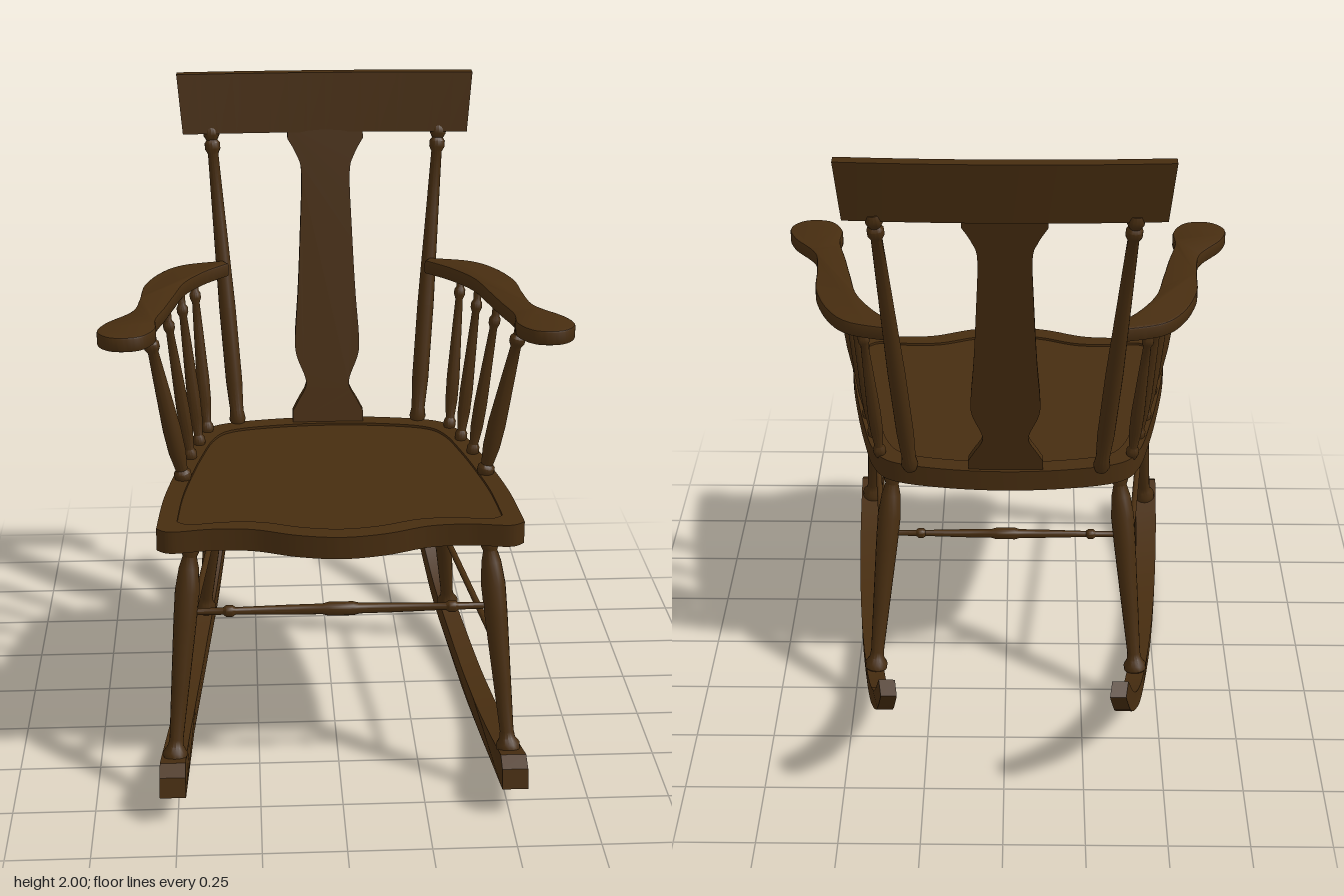
import * as THREE from 'three';
import { toCreasedNormals } from 'three/addons/utils/BufferGeometryUtils.js';

const wood = new THREE.MeshStandardMaterial({ color: 0x472d10 });
wood.name = 'darkWood';
const V = (x, y, z) => new THREE.Vector3(x, y, z);
const V2 = (p) => new THREE.Vector2(p[0], p[1]);

// Turned part between two points; profile rows are [radius, fraction of length]
function turned(name, a, b, profile, scale = 1) {
  const length = a.distanceTo(b);
  const pts = profile.map(([r, t]) => new THREE.Vector2(r * scale, t * length));
  pts.unshift(new THREE.Vector2(0, 0));
  pts.push(new THREE.Vector2(0, length));
  const mesh = new THREE.Mesh(toCreasedNormals(new THREE.LatheGeometry(pts, 16), 0.7), wood);
  mesh.name = name;
  mesh.position.copy(a);
  mesh.quaternion.setFromUnitVectors(V(0, 1, 0), b.clone().sub(a).normalize());
  return mesh;
}

// Smooth plan outline: given [x, z] points, extruded upward from y
function slab(name, shape, y, depth, bevel) {
  const geo = new THREE.ExtrudeGeometry(shape, {
    depth: depth - 2 * bevel, bevelEnabled: bevel > 0, bevelThickness: bevel,
    bevelSize: bevel, bevelOffset: -bevel, bevelSegments: 2,
  });
  geo.rotateX(-Math.PI / 2).translate(0, y + bevel, 0);
  const mesh = new THREE.Mesh(toCreasedNormals(geo, 0.6), wood);
  mesh.name = name;
  return mesh;
}

const legProfile = [[0.02, 0], [0.021, 0.03], [0.036, 0.05], [0.036, 0.075], [0.024, 0.1], [0.021, 0.13],
  [0.027, 0.35], [0.035, 0.65], [0.037, 0.78], [0.03, 0.88], [0.021, 0.93], [0.027, 0.95], [0.024, 1]];
const spindleProfile = [[0.015, 0], [0.02, 0.03], [0.02, 0.06], [0.014, 0.08], [0.02, 0.2], [0.021, 0.35],
  [0.015, 0.7], [0.012, 0.86], [0.018, 0.89], [0.018, 0.92], [0.012, 0.94], [0.014, 1]];
const postProfile = [[0.02, 0], [0.027, 0.02], [0.022, 0.05], [0.027, 0.15], [0.027, 0.4], [0.021, 0.7],
  [0.017, 0.91], [0.025, 0.925], [0.025, 0.945], [0.018, 0.955], [0.026, 0.97], [0.026, 0.985], [0.02, 1]];
const stretcherProfile = [[0.01, 0], [0.011, 0.12], [0.018, 0.13], [0.018, 0.15], [0.011, 0.16], [0.015, 0.34],
  [0.016, 0.44], [0.021, 0.46], [0.021, 0.54], [0.016, 0.56], [0.015, 0.66], [0.011, 0.84], [0.018, 0.85],
  [0.018, 0.87], [0.011, 0.88], [0.01, 1]];
const rodProfile = [[0.01, 0], [0.01, 1]];

// Seat outline, inset by a margin
function seatShape(m) {
  const side = [[0.545, 0.61], [0.53, 0.4], [0.5, 0.2], [0.465, 0.02], [0.425, -0.13], [0.36, -0.21], [0.2, -0.25]];
  const front = [[0.5, 0.635], [0.38, 0.62], [0.26, 0.628], [0.13, 0.675]];
  const at = ([x, z]) => [x * (1 - m / 0.5), -(0.21 + (z - 0.21) * (1 - m / 0.45))];
  const flip = ([x, z]) => [-x, z];
  const s = new THREE.Shape();
  s.moveTo(...at(side[0]));
  s.splineThru([...side.slice(1), [0, -0.265], ...side.slice().reverse().map(flip)].map(at).map(V2));
  s.splineThru([...front.map(flip), [0, 0.695], ...front.slice().reverse(), side[0]].map(at).map(V2));
  return s;
}

// Curved rocker, splayed outward toward the front and tapered toward the tail
function rocker(side) {
  const lower = [[0.84, 0.095], [0.62, 0.048], [0.41, 0.016], [0.14, 0], [-0.095, 0.022], [-0.39, 0.085],
    [-0.55, 0.165], [-0.705, 0.28], [-0.835, 0.435]];
  const upper = [[-0.795, 0.465], [-0.65, 0.31], [-0.49, 0.2], [-0.31, 0.13], [-0.015, 0.075], [0.18, 0.067],
    [0.355, 0.08], [0.57, 0.12], [0.78, 0.178]];
  const at = ([z, y]) => new THREE.Vector2(-z, y);
  const s = new THREE.Shape();
  s.moveTo(-0.84, 0.095);
  s.splineThru(lower.slice(1).map(at));
  s.lineTo(0.795, 0.465);
  s.splineThru(upper.slice(1).map(at));
  s.lineTo(-0.825, 0.155);
  s.closePath();
  const geo = new THREE.ExtrudeGeometry(s, { depth: 1, bevelEnabled: false, curveSegments: 3 });
  geo.translate(0, 0, -0.5).rotateY(Math.PI / 2);
  const p = geo.attributes.position;
  for (let i = 0; i < p.count; i++) {
    const u = (0.84 - p.getZ(i)) / 1.68;
    p.setX(i, side * (0.512 - 0.17 * Math.pow(u, 1.9)) + p.getX(i) * (0.078 - 0.03 * u));
  }
  const mesh = new THREE.Mesh(toCreasedNormals(geo, 0.5), wood);
  mesh.name = 'rocker';
  return mesh;
}

// Paddle-shaped armrest
function armrest(side) {
  const pts = [[0.34, -0.32], [0.47, -0.28], [0.54, -0.2], [0.587, -0.07], [0.597, 0.07], [0.615, 0.19],
    [0.69, 0.3], [0.71, 0.38], [0.665, 0.435], [0.585, 0.43], [0.54, 0.36], [0.54, 0.27], [0.515, 0.16],
    [0.49, 0.04], [0.46, -0.09], [0.4, -0.2], [0.322, -0.29]].map(([x, z]) => [side * x, -z]);
  const s = new THREE.Shape();
  s.moveTo(...pts[0]);
  s.splineThru(pts.slice(1).map(V2));
  s.closePath();
  s.curves.forEach((c) => { c.arcLengthDivisions = 50; });
  return slab('armrest', s, 1.36, 0.046, 0.006);
}

// Vase-shaped back splat, leaning back
function splat() {
  const half = [[0.098, 0.94], [0.073, 0.985], [0.075, 1.02], [0.102, 1.09], [0.106, 1.15], [0.095, 1.3],
    [0.085, 1.5], [0.079, 1.68], [0.095, 1.74], [0.123, 1.79]];
  const s = new THREE.Shape();
  s.moveTo(-0.117, 0.865);
  s.lineTo(0.117, 0.865);
  s.lineTo(0.117, 0.905);
  s.splineThru(half.map(V2));
  s.lineTo(0.123, 1.83);
  s.lineTo(-0.123, 1.83);
  s.lineTo(-0.123, 1.79);
  s.splineThru([...half.slice(0, -1).reverse(), [0.117, 0.905]].map(([x, y]) => new THREE.Vector2(-x, y)));
  s.closePath();
  const geo = new THREE.ExtrudeGeometry(s, { depth: 0.03, bevelEnabled: false, curveSegments: 4 });
  const p = geo.attributes.position;
  for (let i = 0; i < p.count; i++) p.setZ(i, p.getZ(i) - 0.25 - 0.2 * (p.getY(i) - 0.865));
  const mesh = new THREE.Mesh(toCreasedNormals(geo, 0.5), wood);
  mesh.name = 'backSplat';
  return mesh;
}

// Gently bowed crest rail, wider at the top
function crest() {
  const geo = new THREE.BoxGeometry(1, 0.19, 0.037, 16, 1, 1);
  const p = geo.attributes.position;
  for (let i = 0; i < p.count; i++) {
    const x = p.getX(i), t = p.getY(i) / 0.19 + 0.5;
    p.setX(i, x * 2 * (0.462 + 0.017 * t));
    p.setZ(i, p.getZ(i) - 0.428 - 0.027 * t + 0.06 * x * x);
    p.setY(i, 1.81 + 0.19 * t);
  }
  const mesh = new THREE.Mesh(toCreasedNormals(geo, 0.5), wood);
  mesh.name = 'crestRail';
  return mesh;
}

export function createModel() {
  const g = new THREE.Group();
  g.name = 'rockingChair';

  // Seat with a shallow dished centre inside a raised rim
  const rim = seatShape(0);
  rim.holes.push(new THREE.Path(seatShape(0.055).getPoints(6)));
  g.add(slab('seatBase', seatShape(0), 0.8, 0.062, 0), slab('seatRim', rim, 0.862, 0.008, 0));

  g.add(splat(), crest());

  for (const s of [-1, 1]) {
    g.add(rocker(s), armrest(s));
    // Legs
    g.add(turned('frontLeg', V(s * 0.51, 0.12, 0.71), V(s * 0.445, 0.81, 0.563), legProfile));
    g.add(turned('backLeg', V(s * 0.43, 0.1, -0.318), V(s * 0.36, 0.81, -0.152), legProfile));
    g.add(turned('sideStretcher', V(s * 0.478, 0.455, 0.635), V(s * 0.395, 0.455, -0.232), rodProfile));
    // Back posts
    g.add(turned('backPost', V(s * 0.3, 0.86, -0.232), V(s * 0.372, 1.83, -0.425), postProfile));
    // Arm spindles, the front one stouter
    const rows = [[0.47, 0.235, 0.565, 0.26, 1.35], [0.45, 0.07, 0.515, 0.077, 1],
      [0.425, -0.045, 0.475, -0.085, 1], [0.4, -0.155, 0.435, -0.23, 1]];
    for (const [x0, z0, x1, z1, k] of rows) {
      g.add(turned('armSpindle', V(s * x0, 0.86, z0), V(s * x1, 1.365, z1), spindleProfile, k));
    }
  }

  // Cross stretchers
  g.add(turned('frontStretcher', V(-0.465, 0.595, 0.609), V(0.465, 0.595, 0.609), stretcherProfile));
  g.add(turned('backStretcher', V(-0.38, 0.595, -0.202), V(0.38, 0.595, -0.202), stretcherProfile, 0.9));
  return g;
}
